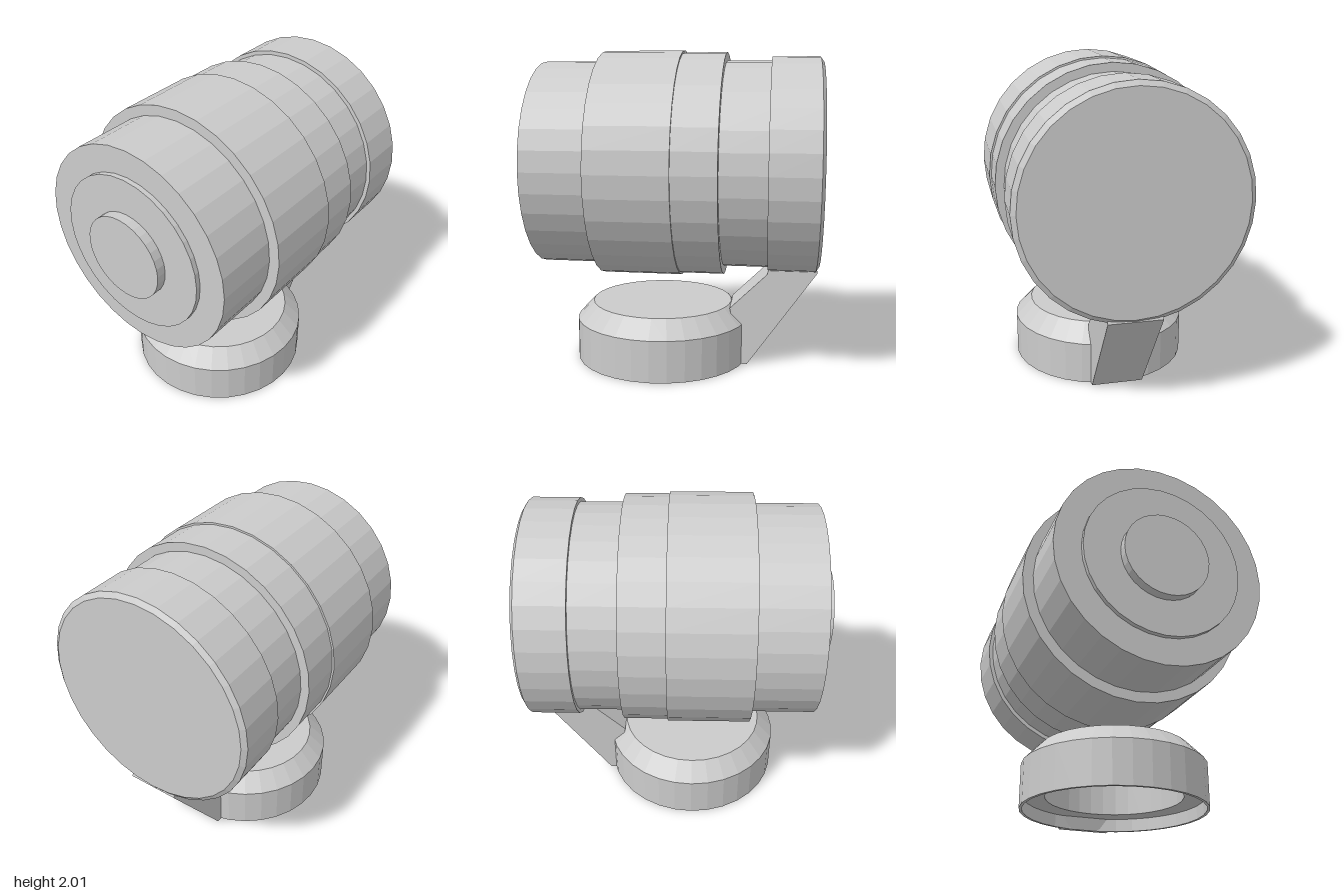
import * as THREE from 'three';

const SIDES = 32;
const AXIS_Y = 1.285; // height of the barrel axis
const BASE_Z = 0.085; // centre of the round foot

export function createModel() {
  const model = new THREE.Group();
  const material = new THREE.MeshStandardMaterial({ color: 0xcccccc, flatShading: true });

  const add = (name, geometry, parent) => {
    const mesh = new THREE.Mesh(geometry, material);
    mesh.name = name;
    parent.add(mesh);
    return mesh;
  };
  // Closed turned solid from [radius, height] pairs, listed bottom to top
  const turned = (profile) =>
    new THREE.LatheGeometry(profile.map(([r, h]) => new THREE.Vector2(r, h)), SIDES);

  // Barrel: stepped drums along z
  const barrel = new THREE.Group();
  barrel.name = 'barrel';
  barrel.position.y = AXIS_Y;
  model.add(barrel);
  const drums = {
    barrelBody: [[0, -0.335], [0.72, -0.335], [0.72, 0.44], [0, 0.44]],
  };
  // One continuous profile keeps the steps free of hidden faces
  drums.barrelBody = [
    [0, -0.93], [0.65, -0.93], [0.68, -0.91], [0.68, -0.615], // rear cap
    [0.655, -0.615], [0.655, -0.335], // rear neck
    [0.708, -0.335], [0.708, -0.065], // rear band
    [0.72, -0.065], [0.72, 0.44], // middle band
    [0.655, 0.44], [0.655, 0.84], [0, 0.84], // front drum
  ];
  drums.frontPlate = [[0, 0.83], [0.49, 0.83], [0.49, 0.87], [0, 0.87]];
  drums.frontButton = [[0, 0.86], [0.265, 0.86], [0.265, 0.93], [0, 0.93]];
  for (const [name, profile] of Object.entries(drums)) {
    add(name, turned(profile).rotateX(Math.PI / 2), barrel);
  }

  // Foot: chamfered disc with a recessed, hollow underside
  const foot = add('foot', turned([
    [0, 0.35], [0.415, 0.35], [0.415, 0.08], // hollow
    [0.547, 0.08], [0.547, 0], // recessed ring and rim
    [0.565, 0], [0.565, 0.265], [0.46, 0.375], [0, 0.375],
  ]), model);
  foot.position.z = BASE_Z;

  // Arm: side profile in (z, y), extruded across x
  const armWidth = 0.325;
  const side = [[-0.49, 0], [-0.455, 0], [-0.39, 0.3], [-0.375, 0.37], [-0.61, 0.6],
    [-0.63, 0.68], [-0.9, 0.68], [-0.925, 0.62]];
  const shape = new THREE.Shape(side.map(([z, y]) => new THREE.Vector2(-z, y)));
  const arm = new THREE.ExtrudeGeometry(shape, { depth: armWidth, bevelEnabled: false });
  arm.translate(0, 0, -armWidth / 2).rotateY(Math.PI / 2);
  add('supportArm', arm, model);

  return model;
}
